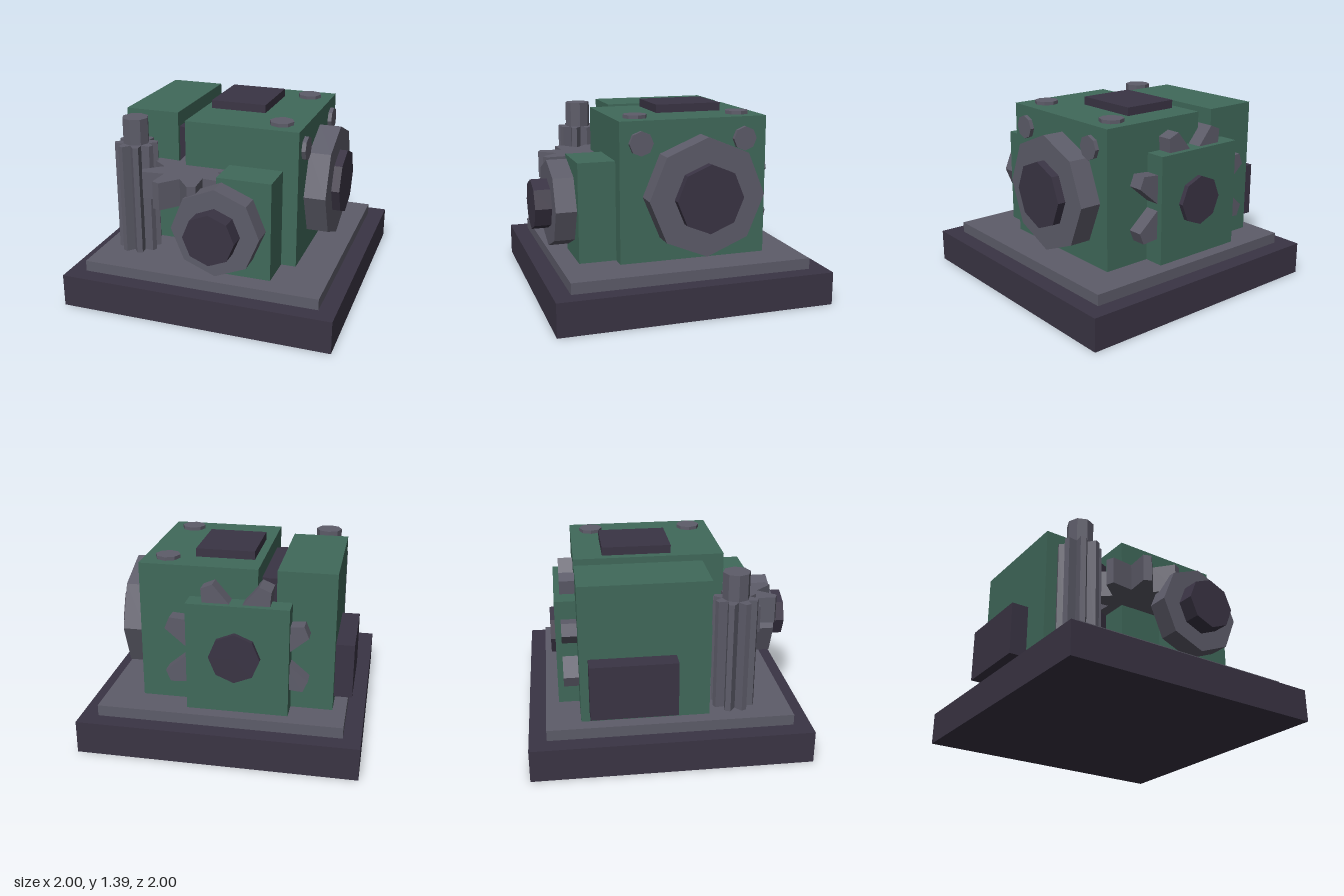
import * as THREE from 'three';

const mat = (color) => new THREE.MeshStandardMaterial({ color, flatShading: true });

export function createModel() {
  const model = new THREE.Group();
  const green = mat(0x40695a), grey = mat(0x5d5c69), dark = mat(0x3a3444);

  const add = (name, geometry, material) => {
    const mesh = new THREE.Mesh(geometry, material);
    mesh.name = name;
    model.add(mesh);
    return mesh;
  };

  // Box given by its limits on each axis
  const box = (name, material, [x0, x1], [y0, y1], [z0, z1]) =>
    add(name, new THREE.BoxGeometry(x1 - x0, y1 - y0, z1 - z0), material)
      .position.set((x0 + x1) / 2, (y0 + y1) / 2, (z0 + z1) / 2);

  // Octagonal disc centred on a point, along the x, y or z axis
  const disc = (name, material, axis, r, length, x, y, z) => {
    const g = new THREE.CylinderGeometry(r, r, length, 8);
    if (axis === 'x') g.rotateZ(-Math.PI / 2);
    if (axis === 'z') g.rotateX(Math.PI / 2);
    add(name, g, material).position.set(x, y, z);
  };

  // Eight-toothed gear with V-shaped gaps, thickness along +z
  const gear = (name, root, tip, halfWidth, depth) => {
    const points = [];
    for (let i = 0; i < 8; i++) {
      const a = i * Math.PI / 4, b = a + Math.PI / 8;
      const c = Math.cos(b), s = Math.sin(b);
      points.push(new THREE.Vector2(root * Math.cos(a), root * Math.sin(a)));
      for (const w of [-halfWidth, halfWidth])
        points.push(new THREE.Vector2(tip * c - w * s, tip * s + w * c));
    }
    const g = new THREE.ExtrudeGeometry(new THREE.Shape(points), { depth, bevelEnabled: false });
    return add(name, g, grey);
  };

  // Stepped base
  box('base', dark, [-1, 1], [0, 0.24], [-1, 1]);
  box('basePlate', grey, [-0.875, 0.875], [0.24, 0.32], [-0.875, 0.875]);

  // Housings
  box('mainHousing', green, [-0.24, 0.6], [0.32, 1.33], [-0.63, 0.46]);
  box('sideHousing', green, [-0.78, -0.37], [0.32, 1.33], [-0.63, 0.28]);
  box('frontHousing', green, [0.095, 0.49], [0.32, 1.04], [0.46, 0.73]);
  box('backHousing', green, [-0.48, 0.24], [0.32, 1.11], [-0.78, -0.63]);
  box('topPanel', dark, [-0.18, 0.24], [1.33, 1.39], [-0.42, 0.08]);
  box('sidePanel', dark, [-0.91, -0.78], [0.4, 0.8], [-0.57, 0.04]);

  // Drum between the two large housings
  disc('innerDrum', dark, 'y', 0.38, 0.9, -0.305, 0.77, -0.1);

  // Wheels and their hubs
  disc('frontWheel', grey, 'z', 0.32, 0.15, 0.135, 0.69, 0.805);
  disc('frontHub', dark, 'z', 0.185, 0.12, 0.135, 0.69, 0.94);
  disc('sideWheel', grey, 'x', 0.425, 0.16, 0.68, 0.795, -0.13);
  disc('sideHub', dark, 'x', 0.245, 0.06, 0.79, 0.795, -0.13);
  disc('backHub', dark, 'z', 0.18, 0.035, -0.105, 0.74, -0.7975);

  // Bolts on the top and the left face
  for (const z of [-0.47, 0.3]) {
    disc('topBolt', grey, 'y', 0.088, 0.025, 0.43, 1.3425, z);
    disc('sideBolt', grey, 'x', 0.087, 0.03, 0.615, 1.175, z + 0.01);
  }

  // Gears: tall pinion with its shaft, flat gear, large back gear
  const pinion = gear('pinion', 0.1, 0.155, 0.02, 0.82);
  pinion.rotation.x = -Math.PI / 2;
  pinion.position.set(-0.62, 0.32, 0.475);
  disc('pinionShaft', grey, 'y', 0.097, 1.01, -0.62, 0.825, 0.475);
  const flatGear = gear('flatGear', 0.205, 0.345, 0.03, 0.2);
  flatGear.rotation.x = -Math.PI / 2;
  flatGear.position.set(-0.17, 0.8, 0.535);
  gear('backGear', 0.315, 0.527, 0.045, 0.17).position.set(-0.105, 0.74, -0.738);

  return model;
}
